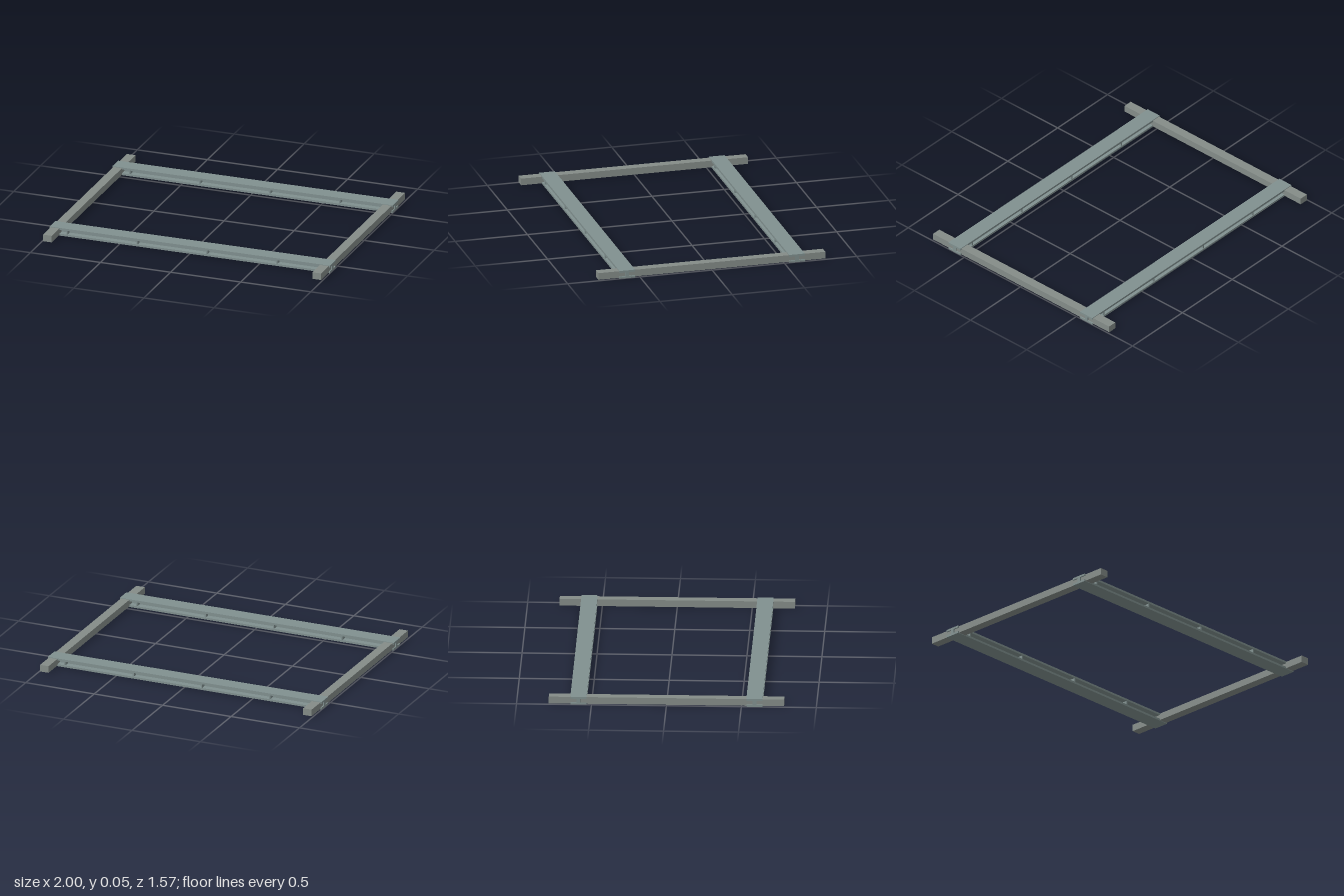
import * as THREE from 'three';

const beamMat = new THREE.MeshStandardMaterial({ color: 0x80908f });
const railMat = new THREE.MeshStandardMaterial({ color: 0x848c88 });

function box(name, mat, size, pos) {
  const mesh = new THREE.Mesh(new THREE.BoxGeometry(...size), mat);
  mesh.name = name;
  mesh.position.set(...pos);
  return mesh;
}

// I-section beam running along x, with stiffener plates between its flanges
function crossBeam(name, z) {
  const H = 0.055, W = 0.054, T = 0.014, web = 0.0125;
  const group = new THREE.Group();
  group.name = name;
  const half = [[W, 0], [W, T], [web, T], [web, H - T], [W, H - T], [W, H]];
  const outline = [...half, ...half.map(([x, y]) => [-x, y]).reverse()];
  const shape = new THREE.Shape(outline.map(([x, y]) => new THREE.Vector2(x, y)));
  const geo = new THREE.ExtrudeGeometry(shape, { depth: 2, bevelEnabled: false });
  geo.translate(0, 0, -1).rotateY(Math.PI / 2);
  const beam = new THREE.Mesh(geo, beamMat);
  beam.name = 'iBeam';
  group.add(beam);

  // Plates on the two faces are staggered by a half turn about the beam's middle
  const depth = W - web - 0.004;
  for (const side of [1, -1]) {
    for (let i = 0; i < 4; i++) {
      group.add(box('stiffener', beamMat, [0.01, H - 2 * T, depth],
        [side * (-0.877 + i * 0.499), H / 2, side * (web + depth / 2)]));
    }
  }
  group.position.z = z;
  return group;
}

export function createModel() {
  const model = new THREE.Group();
  model.name = 'baseFrame';
  // Square side rails passing through the beams
  for (const s of [1, -1]) {
    model.add(box(s > 0 ? 'leftRail' : 'rightRail', railMat,
      [0.062, 0.047, 1.57], [s * 0.961, 0.0275, 0]));
  }
  model.add(crossBeam('frontBeam', 0.587), crossBeam('backBeam', -0.587));
  return model;
}
